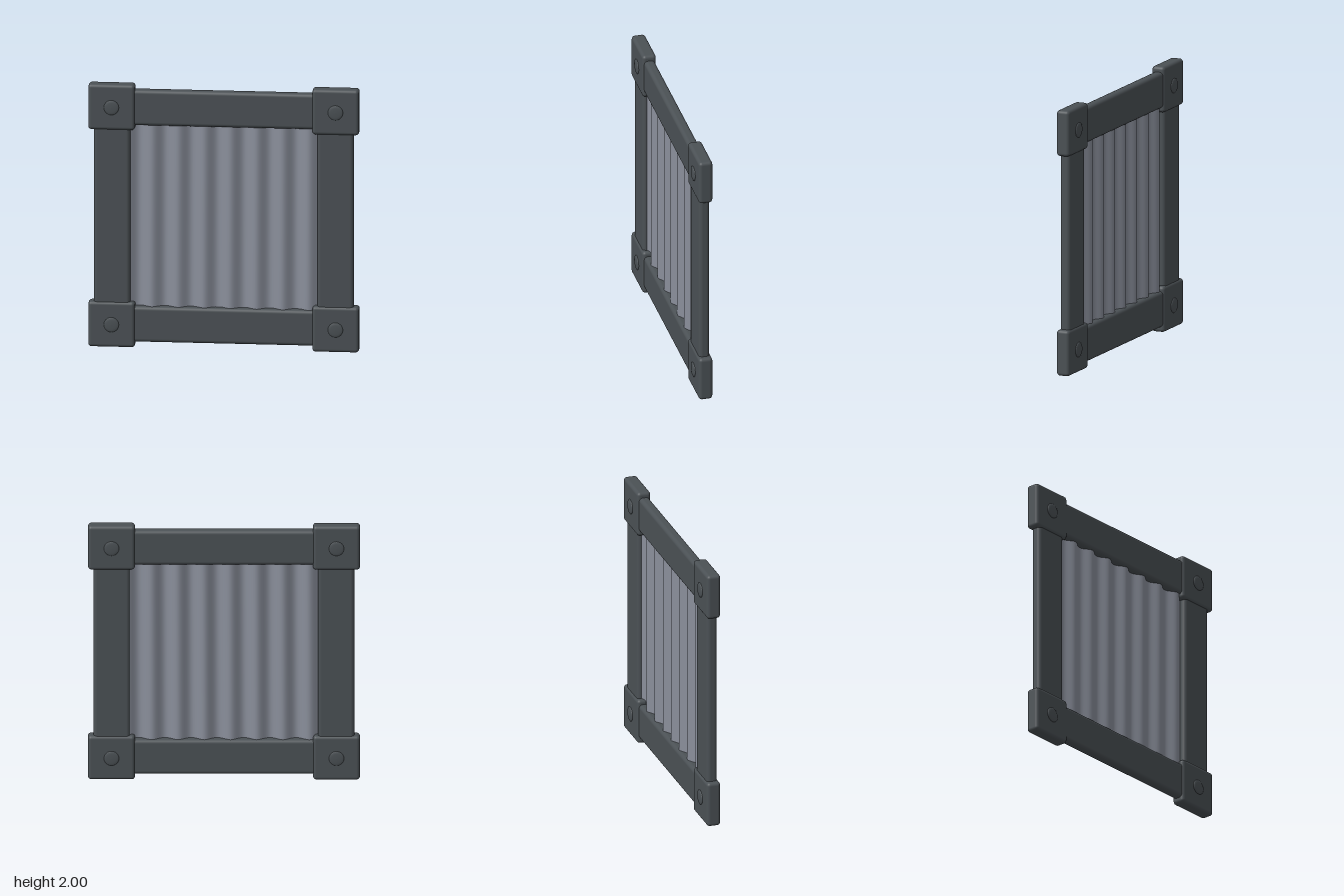
import * as THREE from 'three';
import { RoundedBoxGeometry } from 'three/addons/geometries/RoundedBoxGeometry.js';

export function createModel() {
  const model = new THREE.Group();
  model.name = 'framedPanel';

  const frameMetal = new THREE.MeshStandardMaterial({ color: 0x4b5155 });
  frameMetal.name = 'dark frame metal';
  const sheetMetal = new THREE.MeshStandardMaterial({ color: 0x8a8f9b });
  sheetMetal.name = 'grey sheet metal';
  sheetMetal.side = THREE.DoubleSide;

  const add = (name, geometry, material, x, y, z = 0) => {
    const mesh = new THREE.Mesh(geometry, material);
    mesh.name = name;
    mesh.position.set(x, y, z);
    model.add(mesh);
    return mesh;
  };

  const C = 0.8275; // distance of frame centre lines from the middle

  // Four bars, their ends hidden inside the corner blocks
  const rail = new RoundedBoxGeometry(1.5, 0.27, 0.08, 4, 0.028);
  const stile = new RoundedBoxGeometry(0.27, 1.5, 0.08, 4, 0.028);
  for (const s of [-1, 1]) {
    add(s > 0 ? 'topRail' : 'bottomRail', rail, frameMetal, 0, 1 + s * C * 0.997);
    add(s > 0 ? 'leftStile' : 'rightStile', stile, frameMetal, s * C * 0.997, 1);
  }

  // Corner blocks with a domed bolt on each face
  const block = new RoundedBoxGeometry(0.345, 0.345, 0.104, 4, 0.025);
  const dome = new THREE.LatheGeometry(
    [[0.056, 0], [0.055, 0.006], [0.049, 0.0095], [0.036, 0.0115], [0.018, 0.0125], [0, 0.013]]
      .map(([r, h]) => new THREE.Vector2(r, h)), 24);
  dome.rotateX(Math.PI / 2);
  for (const sx of [-1, 1]) for (const sy of [-1, 1]) {
    add('cornerBlock', block, frameMetal, sx * C, 1 + sy * C);
    for (const sz of [-1, 1]) {
      const bolt = add('bolt', dome, frameMetal, sx * C, 1 + sy * C, sz * 0.05);
      if (sz < 0) bolt.rotation.y = Math.PI;
    }
  }

  // Corrugated sheet: a plane bent into a sine wave across x
  const sheet = new THREE.PlaneGeometry(1.544, 1.5, 96, 1);
  const p = sheet.attributes.position;
  for (let i = 0; i < p.count; i++) {
    p.setZ(i, 0.022 * Math.sin((2 * Math.PI * p.getX(i)) / 0.193));
  }
  sheet.computeVertexNormals();
  add('corrugatedSheet', sheet, sheetMetal, 0, 1);

  return model;
}
